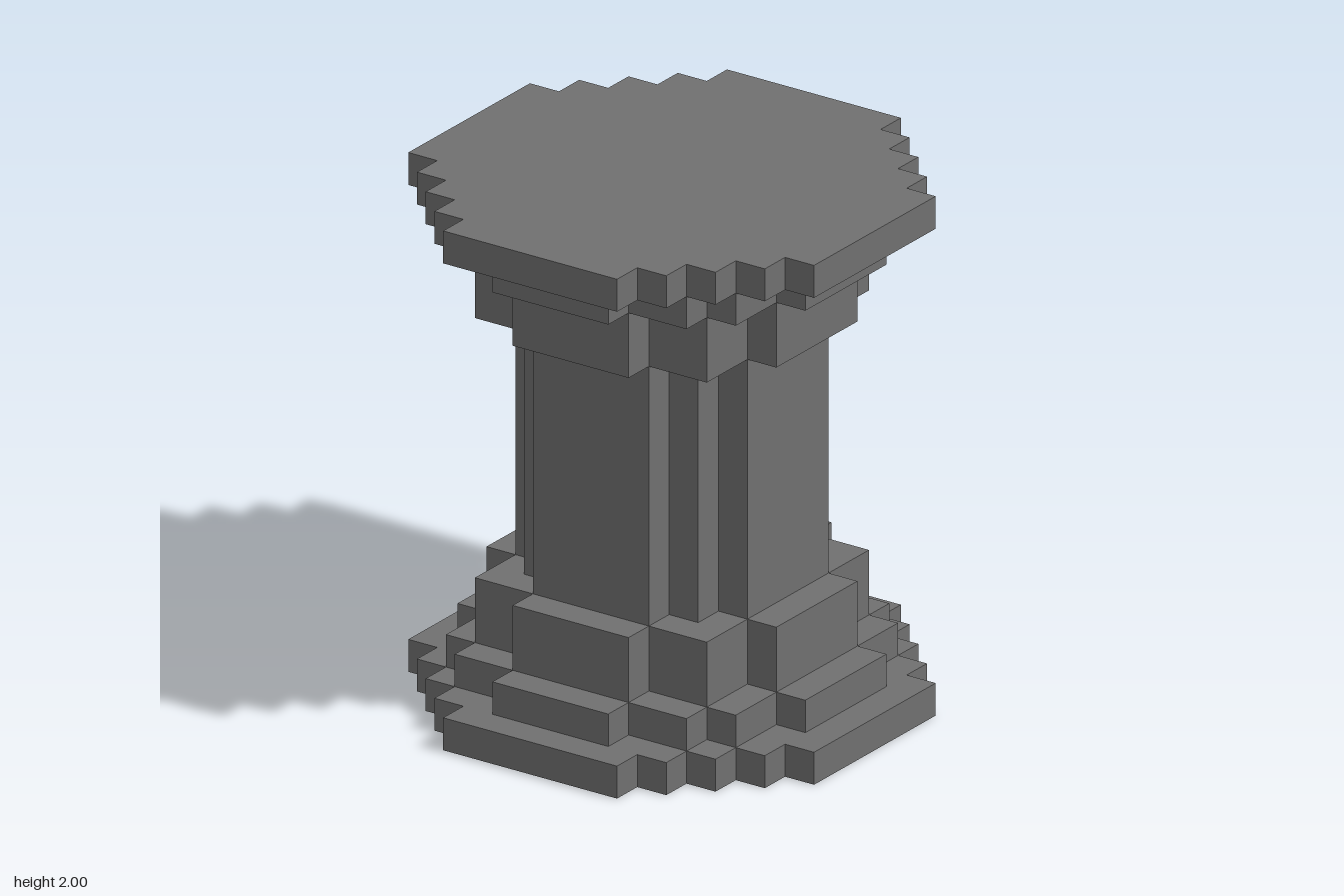
import * as THREE from 'three';

const UNIT = 0.125;

// Stepped round outline from the convex corners of one quadrant, mirrored to all four
function steppedShape(corners) {
  const quadrant = [];
  corners.forEach(([x, z], i) => {
    quadrant.push([x, z]);
    if (i < corners.length - 1) quadrant.push([corners[i + 1][0], z]);
  });
  const back = [...quadrant].reverse();
  const outline = [
    ...quadrant,
    ...back.map(([x, z]) => [-x, z]),
    ...quadrant.map(([x, z]) => [-x, -z]),
    ...back.map(([x, z]) => [x, -z]),
  ];
  return new THREE.Shape(outline.map(([x, z]) => new THREE.Vector2(x * UNIT, z * UNIT)));
}

export function createModel() {
  const group = new THREE.Group();
  group.name = 'pillar';
  const stone = new THREE.MeshStandardMaterial({ color: 0x707070 });
  stone.name = 'grey stone';

  // Quadrant corners of each tier, in grid units
  const slab = [[7, 3], [6, 4], [5, 5], [4, 6], [3, 7]];
  const step = [[6, 2], [5, 4], [4, 5], [2, 6]];
  const collar = [[5, 2], [4, 4], [2, 5]];
  const shaft = [[4, 2], [3, 3], [2, 4]];

  // Name, outline, bottom and top in grid units
  const tiers = [
    ['baseSlab', slab, 0, 1],
    ['baseStep', step, 1, 2],
    ['baseCollar', collar, 2, 4],
    ['shaft', shaft, 4, 12],
    ['capitalCollar', collar, 12, 14],
    ['capitalStep', step, 14, 15],
    ['capitalSlab', slab, 15, 16],
  ];
  for (const [name, corners, bottom, top] of tiers) {
    const geometry = new THREE.ExtrudeGeometry(steppedShape(corners), {
      depth: (top - bottom) * UNIT,
      bevelEnabled: false,
    });
    geometry.rotateX(-Math.PI / 2);
    const mesh = new THREE.Mesh(geometry, stone);
    mesh.name = name;
    mesh.position.y = bottom * UNIT;
    group.add(mesh);
  }
  return group;
}
